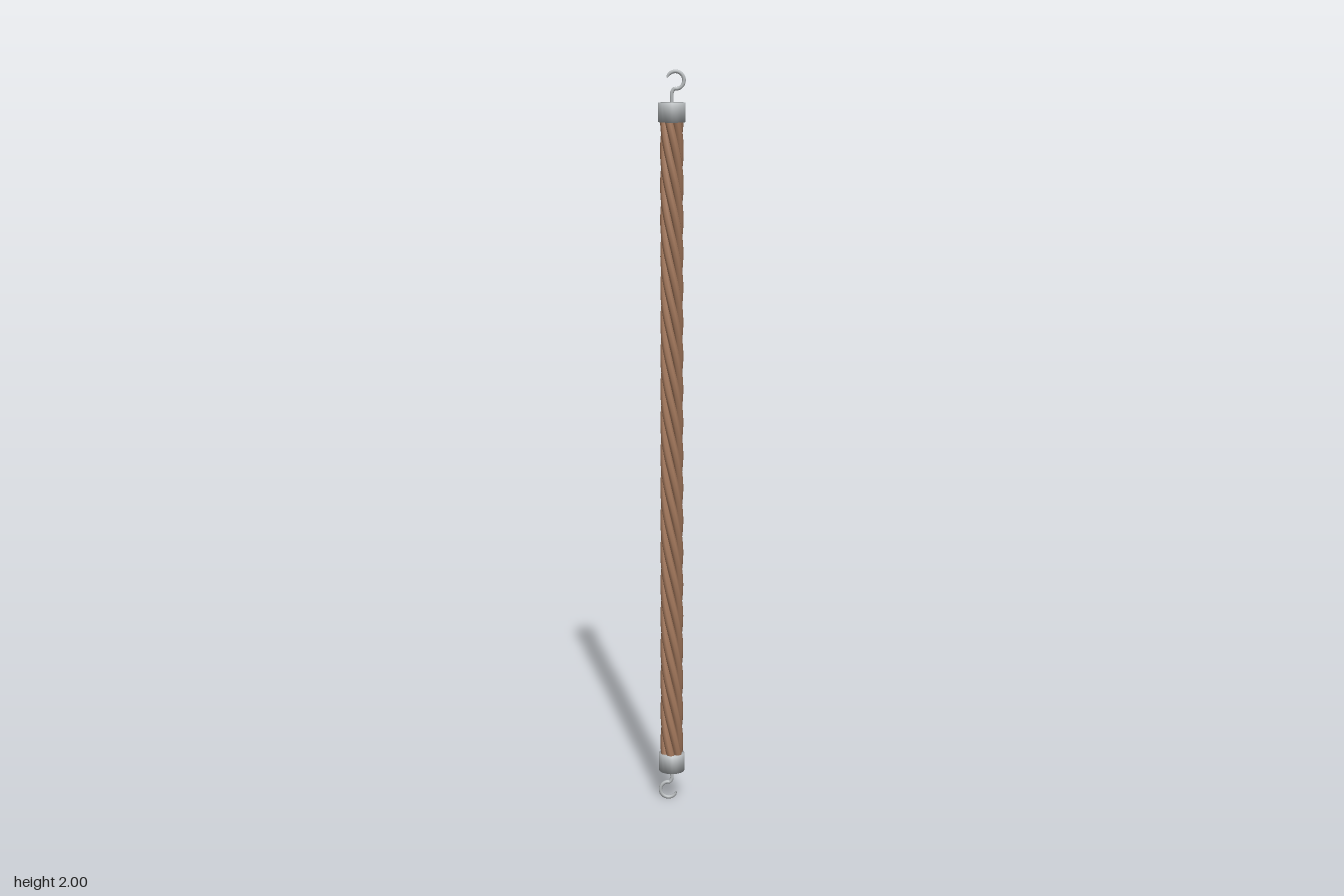
import * as THREE from 'three';

const ROPE_BOTTOM = 0.12, ROPE_TOP = 1.88, STRANDS = 6, TURNS = 3.25;
const STRAND_RING = 0.0205, STRAND_RADIUS = 0.0108;

// Strand centre line winding around the y axis
class Helix extends THREE.Curve {
  constructor(phase) {
    super();
    this.phase = phase;
  }
  getPoint(t, target = new THREE.Vector3()) {
    const a = this.phase - t * TURNS * Math.PI * 2;
    return target.set(
      Math.sin(a) * STRAND_RING,
      THREE.MathUtils.lerp(ROPE_BOTTOM, ROPE_TOP, t),
      Math.cos(a) * STRAND_RING
    );
  }
}

// Hook wire: straight stem, then an open loop ending in a narrowed tip
function hookGeometry() {
  const cx = 0.009, cy = 1.9725, r = 0.0225, wire = 0.005;
  const points = [new THREE.Vector3(0, 1.9, 0), new THREE.Vector3(0, 1.925, 0), new THREE.Vector3(0, 1.94, 0)];
  for (let i = 0; i <= 12; i++) {
    const a = THREE.MathUtils.degToRad(-98 + i * 22);
    points.push(new THREE.Vector3(cx + Math.cos(a) * r, cy + Math.sin(a) * r, 0));
  }
  const curve = new THREE.CatmullRomCurve3(points);
  const segments = 60, sides = 10;
  const geometry = new THREE.TubeGeometry(curve, segments, wire, sides);
  const pos = geometry.attributes.position;
  const p = new THREE.Vector3(), centre = new THREE.Vector3();
  for (let i = 0; i < pos.count; i++) {
    const t = Math.floor(i / (sides + 1)) / segments;
    if (t <= 0.85) continue;
    curve.getPointAt(t, centre);
    const k = Math.min((t - 0.85) / 0.15, 0.999);
    p.fromBufferAttribute(pos, i).sub(centre).multiplyScalar(Math.sqrt(1 - k * k)).add(centre);
    pos.setXYZ(i, p.x, p.y, p.z);
  }
  return geometry;
}

export function createModel() {
  const model = new THREE.Group();
  model.name = 'ropeWithHooks';
  const ropeBrown = new THREE.MeshStandardMaterial({ name: 'ropeBrown', color: 0xa3785c });
  const steelGrey = new THREE.MeshStandardMaterial({ name: 'steelGrey', color: 0xb6babc });

  const add = (parent, name, geometry, material) => {
    const mesh = new THREE.Mesh(geometry, material);
    mesh.name = name;
    parent.add(mesh);
  };

  // Twisted rope
  const rope = new THREE.Group();
  rope.name = 'rope';
  model.add(rope);
  for (let i = 0; i < STRANDS; i++) {
    const helix = new Helix((i / STRANDS) * Math.PI * 2);
    add(rope, `strand${i + 1}`, new THREE.TubeGeometry(helix, 120, STRAND_RADIUS, 8), ropeBrown);
  }

  // End fittings; the lower one is the upper one turned half round about z
  const capProfile = [[0, 1.865], [0.0355, 1.865], [0.0355, 1.915], [0, 1.915]]
    .map(([x, y]) => new THREE.Vector2(x, y));
  const capGeometry = new THREE.LatheGeometry(capProfile, 16);
  const hook = hookGeometry();
  for (const name of ['upperFitting', 'lowerFitting']) {
    const fitting = new THREE.Group();
    fitting.name = name;
    add(fitting, 'endCap', capGeometry, steelGrey);
    add(fitting, 'hook', hook, steelGrey);
    if (name === 'lowerFitting') {
      fitting.rotation.z = Math.PI;
      fitting.position.y = 2;
    }
    model.add(fitting);
  }
  return model;
}
